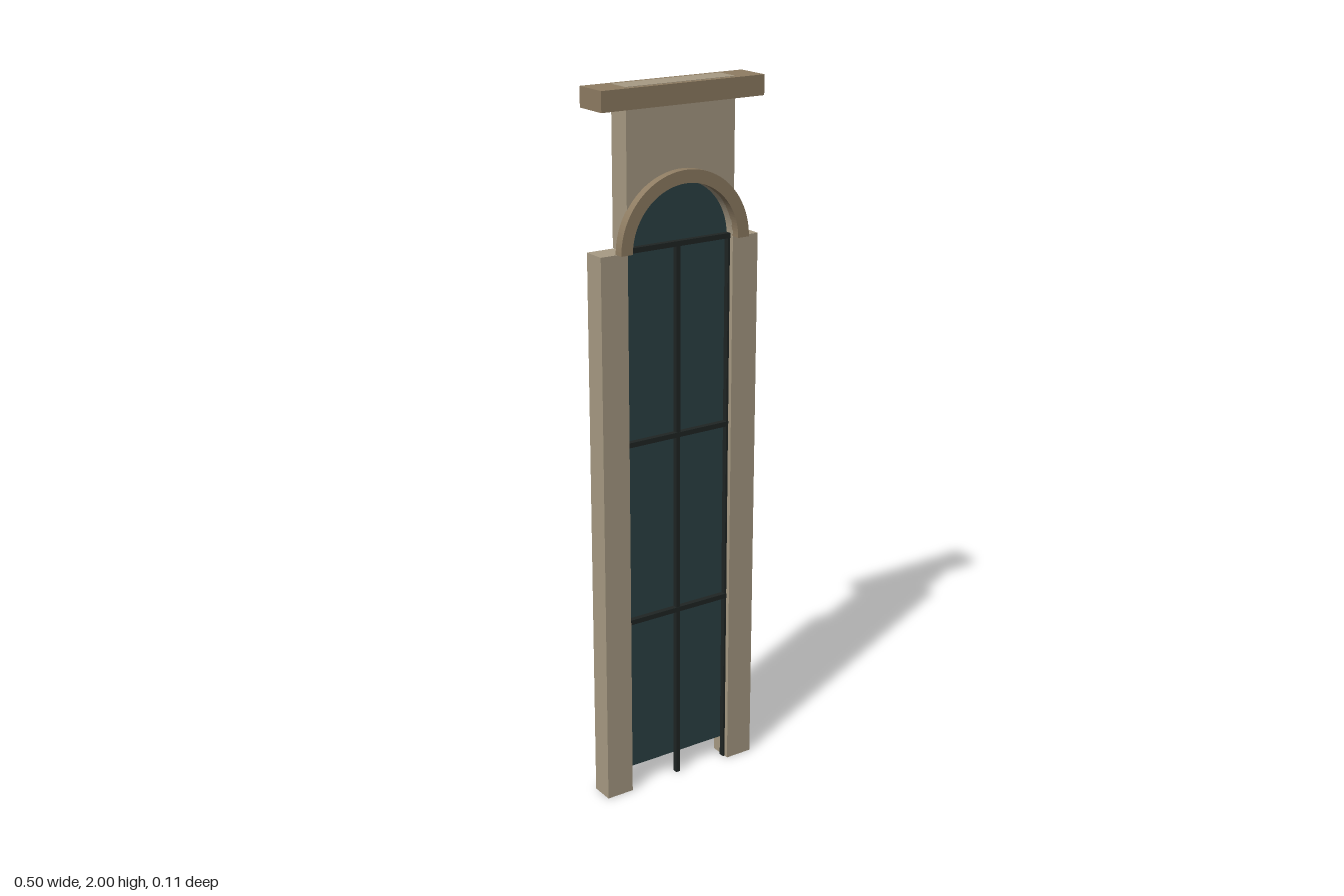
import * as THREE from 'three';

const stone = new THREE.MeshStandardMaterial({ color: 0xa89b84 });
const trim = new THREE.MeshStandardMaterial({ color: 0x8f7d63 });
const glass = new THREE.MeshStandardMaterial({ color: 0x2c4245 });
const iron = new THREE.MeshStandardMaterial({ color: 0x1f2524 });

const SPRING = 1.577; // height where the arch starts
const R = 0.166; // radius of the opening
const HALF = 0.168; // half width of the stone panel

export function createModel() {
  const group = new THREE.Group();

  const add = (name, geometry, material) => {
    const mesh = new THREE.Mesh(geometry, material);
    mesh.name = name;
    group.add(mesh);
    return mesh;
  };
  // Box given by its minimum and maximum on each axis
  const box = (name, material, [x0, x1], [y0, y1], [z0, z1]) =>
    add(name, new THREE.BoxGeometry(x1 - x0, y1 - y0, z1 - z0), material)
      .position.set((x0 + x1) / 2, (y0 + y1) / 2, (z0 + z1) / 2);
  // Outline extruded between two depths
  const slab = (name, material, shape, z0, z1) =>
    add(name, new THREE.ExtrudeGeometry(shape, { depth: z1 - z0, bevelEnabled: false, curveSegments: 32 }), material)
      .position.z = z0;

  // Side pillars
  box('leftPillar', stone, [0.166, 0.248], [0, 1.576], [-0.036, 0.031]);
  box('rightPillar', stone, [-0.248, -0.166], [0, 1.576], [-0.036, 0.031]);

  // Upper panel with the arch cut out of its lower edge
  const panel = new THREE.Shape();
  panel.moveTo(-HALF, SPRING);
  panel.lineTo(-R, SPRING);
  panel.absarc(0, SPRING, R, Math.PI, 0, true);
  panel.lineTo(HALF, SPRING);
  panel.lineTo(HALF, 2);
  panel.lineTo(-HALF, 2);
  panel.closePath();
  slab('upperPanel', stone, panel, -0.038, 0.031);

  // Cap stone around the top of the panel
  box('capStone', trim, [-0.25, 0.25], [1.945, 1.999], [-0.055, 0.047]);

  // Projecting arch moulding
  const arch = new THREE.Shape();
  arch.absarc(0, SPRING, 0.201, 0, Math.PI, false);
  arch.absarc(0, SPRING, R, Math.PI, 0, true);
  arch.closePath();
  slab('archMoulding', trim, arch, 0.028, 0.055);

  // Round-topped glass pane
  const pane = new THREE.Shape();
  pane.moveTo(-R, 0.06);
  pane.lineTo(R, 0.06);
  pane.absarc(0, SPRING, R, 0, Math.PI, false);
  pane.closePath();
  slab('glassPane', glass, pane, -0.016, 0.002);

  // Glazing bars: uprights and crossbars
  for (const x of [-0.166, 0, 0.166])
    box('uprightBar', iron, [x - 0.006, x + 0.006], [0, SPRING], [0.002, 0.018]);
  for (const y of [0.522, 1.045, SPRING])
    box('crossBar', iron, [-0.171, 0.171], [y - 0.007, y + 0.007], [0.003, 0.019]);

  return group;
}
